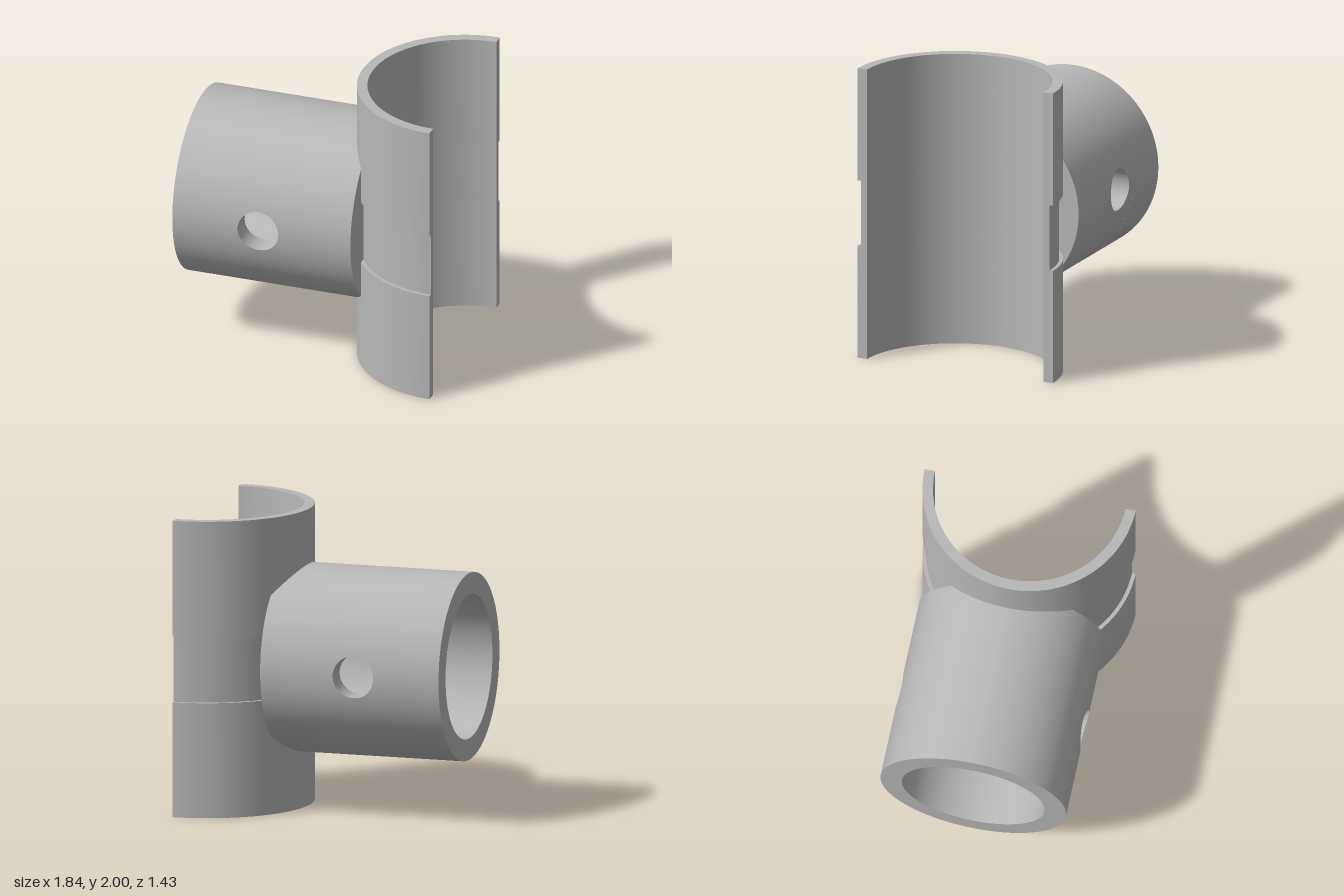
import * as THREE from 'three';
import { toCreasedNormals } from 'three/addons/utils/BufferGeometryUtils.js';

const R = 0.63, BORE = 0.485;                 // socket radii
const X0 = -0.92, X1 = 0.33, BORE_END = 0.2;  // socket extent and bore depth
const HX = -0.32, HR = 0.142;                 // cross hole position and radius
const PW = 0.2, PA = 0.4;                     // half size of the patch round the hole (x, angle)
const CX = 0.915, MID = 0.68;                 // saddle centre and mid-wall radius
const TAU = Math.PI * 2;
const lerp = THREE.MathUtils.lerp;

// Grid surface from position and normal rules; each triangle is wound to face its normal
function surface(pos, nor, nu, nv) {
  const p = [], n = [], idx = [];
  for (let j = 0; j <= nv; j++) for (let i = 0; i <= nu; i++) {
    p.push(...pos(i / nu, j / nv));
    n.push(...nor(i / nu, j / nv));
  }
  const at = (arr, k) => new THREE.Vector3().fromArray(arr, k * 3);
  const tri = (a, b, c) => {
    const A = at(p, a);
    const g = at(p, b).sub(A).cross(at(p, c).sub(A));
    const m = at(n, a).add(at(n, b)).add(at(n, c));
    if (g.dot(m) < 0) idx.push(a, c, b); else idx.push(a, b, c);
  };
  for (let j = 0; j < nv; j++) for (let i = 0; i < nu; i++) {
    const a = j * (nu + 1) + i, b = a + 1, c = a + nu + 1, d = c + 1;
    tri(a, b, d);
    tri(a, d, c);
  }
  const g = new THREE.BufferGeometry();
  g.setAttribute('position', new THREE.Float32BufferAttribute(p, 3));
  g.setAttribute('normal', new THREE.Float32BufferAttribute(n, 3));
  g.setIndex(idx);
  return g;
}

const onTube = (x, a, r) => [x, 1 + r * Math.sin(a), r * Math.cos(a)];

// Cylindrical wall with two opposite round holes; endX gives the far edge at each angle
function tubeWall(r, sign, endX) {
  const radial = a => [0, sign * Math.sin(a), sign * Math.cos(a)];
  const strip = (a0, a1, xa, xb, segs) => surface(
    (u, v) => { const a = lerp(a0, a1, u); return onTube(lerp(xa(a), xb(a), v), a, r); },
    u => radial(lerp(a0, a1, u)), segs, 1);
  const left = () => HX - PW, right = () => HX + PW;
  const parts = [
    strip(0, TAU, () => X0, left, 128),
    strip(0, TAU, right, endX, 128),
  ];
  for (const side of [0, Math.PI]) {
    parts.push(strip(side + PA, side + Math.PI - PA, left, right, 48));
    // patch blending from the round hole to a square border
    const angle = (u, v) => {
      const c = Math.cos(u * TAU), s = Math.sin(u * TAU), m = Math.max(Math.abs(c), Math.abs(s));
      return [lerp(HX + HR * c, HX + PW * c / m, v), side + lerp(Math.asin(HR * s / r), PA * s / m, v)];
    };
    parts.push(surface((u, v) => onTube(...angle(u, v), r), (u, v) => radial(angle(u, v)[1]), 64, 6));
  }
  return parts;
}

// Half-ring slab of the saddle between two heights
function halfRing(outer, inner, y0, y1) {
  const s = new THREE.Shape();
  s.absarc(CX, 0, outer, Math.PI / 2, Math.PI * 1.5, false);
  s.absarc(CX, 0, inner, Math.PI * 1.5, Math.PI / 2, true);
  const g = new THREE.ExtrudeGeometry(s, { depth: y1 - y0, bevelEnabled: false, curveSegments: 64 });
  g.rotateX(-Math.PI / 2).translate(0, y0, 0);
  return toCreasedNormals(g, 0.5);
}

export function createModel() {
  const model = new THREE.Group();
  const grey = new THREE.MeshStandardMaterial({ color: 0xb8b8b8 });
  grey.name = 'plainGrey';
  const group = (name, geos) => {
    const g = new THREE.Group();
    g.name = name;
    geos.forEach((geo, i) => {
      const m = new THREE.Mesh(geo, grey);
      m.name = name + (i + 1);
      g.add(m);
    });
    model.add(g);
  };

  // Half-pipe saddle with a shallow strap groove round its middle
  group('saddle', [
    halfRing(0.715, 0.645, 0, 0.775),
    halfRing(0.69, 0.645, 0.775, 1.225),
    halfRing(0.715, 0.645, 1.225, 2),
  ]);

  // Socket outside, trimmed inside the saddle wall
  group('socketOuter', tubeWall(R, 1, a => {
    const z = R * Math.cos(a);
    return Math.min(X1, CX - Math.sqrt(MID * MID - z * z));
  }));

  // Blind bore and its floor
  const floor = new THREE.CircleGeometry(BORE, 96).rotateY(-Math.PI / 2).translate(BORE_END, 1, 0);
  group('socketBore', [...tubeWall(BORE, -1, () => BORE_END), floor]);

  // Open rim
  group('socketRim', [
    new THREE.RingGeometry(BORE, R, 128).rotateY(-Math.PI / 2).translate(X0, 1, 0),
  ]);

  // Flat shoulders beside the saddle, and the cross hole walls
  const chord = Math.sqrt(MID * MID - (CX - X1) ** 2);
  const half = Math.acos(chord / R);
  const shoulders = [], holes = [];
  for (const s of [1, -1]) {
    shoulders.push(surface((u, v) => {
      const a = lerp(-half, half, u);
      return [X1, 1 + R * Math.sin(a), s * lerp(chord, R * Math.cos(a), v)];
    }, () => [1, 0, 0], 48, 1));
    holes.push(surface((u, v) => {
      const y = HR * Math.sin(u * TAU), r = v ? R : BORE;
      return [HX + HR * Math.cos(u * TAU), 1 + y, s * Math.sqrt(r * r - y * y)];
    }, u => [-Math.cos(u * TAU), -Math.sin(u * TAU), 0], 64, 1));
  }
  group('socketShoulder', shoulders);
  group('pinHole', holes);

  return model;
}
